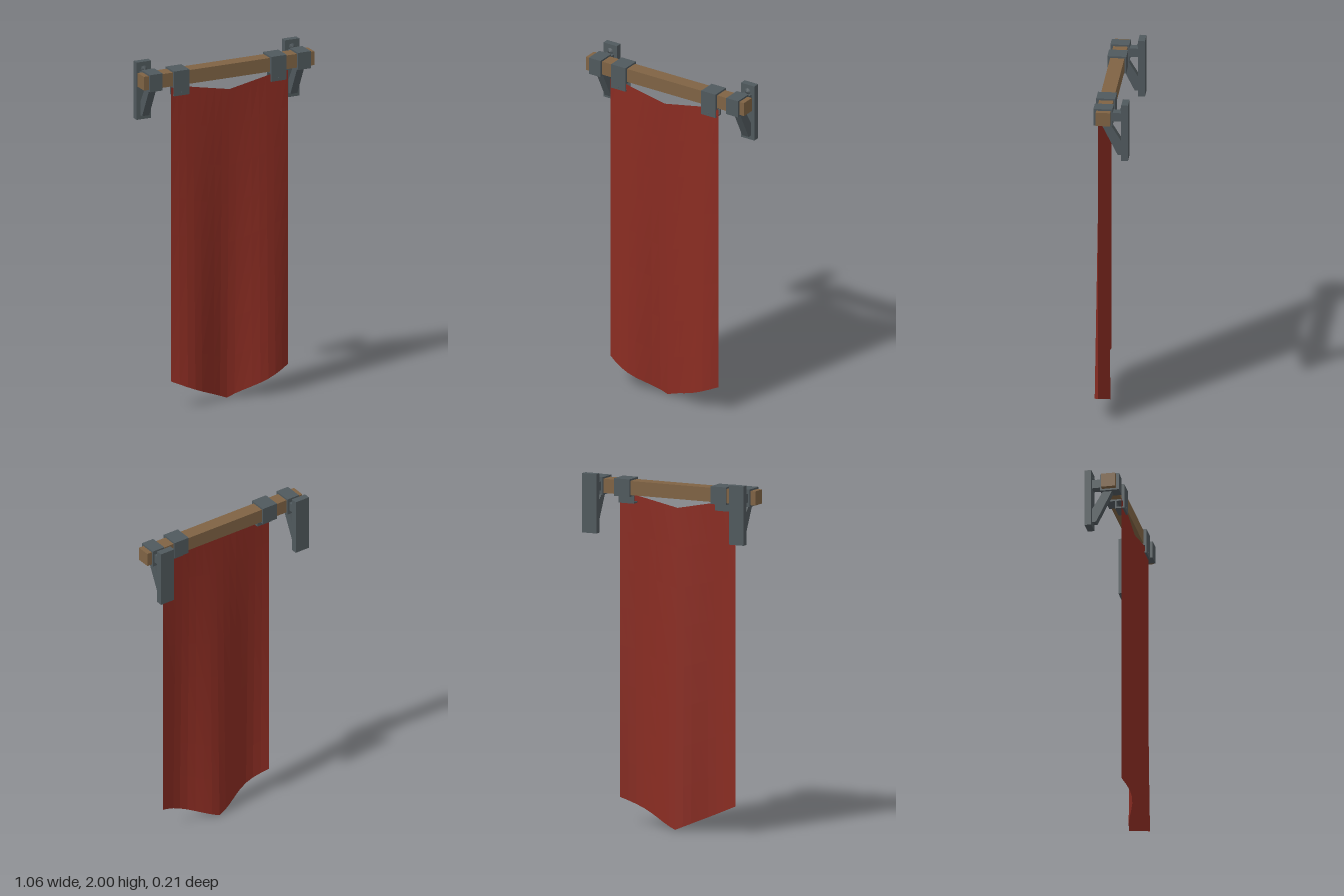
import * as THREE from 'three';

const paint = (name, color, extra = {}) => {
  const m = new THREE.MeshStandardMaterial({ color, ...extra });
  m.name = name;
  return m;
};

export function createModel() {
  const iron = paint('dark iron', 0x50595d);
  const wood = paint('brown wood', 0x7f6344);
  const red = paint('red cloth', 0x8a2c22, { side: THREE.DoubleSide, flatShading: true });
  const model = new THREE.Group();
  model.name = 'wallBanner';

  const add = (parent, name, geo, mat) => {
    const mesh = new THREE.Mesh(geo, mat);
    mesh.name = name;
    parent.add(mesh);
    return mesh;
  };
  // Box given by its limits on each axis
  const box = (parent, name, mat, [x0, x1], [y0, y1], [z0, z1]) => {
    const geo = new THREE.BoxGeometry(x1 - x0, y1 - y0, z1 - z0);
    geo.translate((x0 + x1) / 2, (y0 + y1) / 2, (z0 + z1) / 2);
    return add(parent, name, geo, mat);
  };

  // Square pole
  box(model, 'pole', wood, [-0.53, 0.53], [1.88, 1.96], [-0.01, 0.07]);

  for (const side of [-1, 1]) {
    // Wall bracket with plate, arm, sleeve, diagonal brace and rivets
    const bracket = new THREE.Group();
    bracket.name = side > 0 ? 'leftBracket' : 'rightBracket';
    bracket.position.x = side * 0.461;
    model.add(bracket);
    box(bracket, 'wallPlate', iron, [-0.045, 0.045], [1.665, 2], [-0.108, -0.07]);
    box(bracket, 'arm', iron, [-0.027, 0.027], [1.895, 1.945], [-0.07, -0.02]);
    box(bracket, 'sleeve', iron, [-0.039, 0.039], [1.87, 1.97], [-0.02, 0.086]);

    const profile = new THREE.Shape([
      [0.045, 1.875], [-0.006, 1.875], [-0.07, 1.77], [-0.07, 1.69], [-0.048, 1.69],
    ].map(([z, y]) => new THREE.Vector2(z, y)));
    const brace = new THREE.ExtrudeGeometry(profile, { depth: 0.044, bevelEnabled: false });
    brace.rotateY(-Math.PI / 2).translate(0.022, 0, 0);
    add(bracket, 'brace', brace, iron);

    for (const y of [1.958, 1.7]) {
      const rivet = new THREE.ConeGeometry(0.02, 0.012, 8);
      rivet.rotateX(Math.PI / 2).translate(0, y, -0.064);
      add(bracket, 'plateRivet', rivet, iron);
    }

    // Clamp around the pole with a loop below that grips the cloth
    const clamp = new THREE.Group();
    clamp.name = side > 0 ? 'leftClamp' : 'rightClamp';
    clamp.position.x = side * 0.302;
    model.add(clamp);
    const w = [-0.048, 0.048];
    box(clamp, 'clampSleeve', iron, w, [1.87, 1.97], [-0.02, 0.086]);
    box(clamp, 'loopFront', iron, w, [1.825, 1.87], [0.079, 0.086]);
    box(clamp, 'loopBack', iron, w, [1.825, 1.87], [0.033, 0.041]);
    box(clamp, 'loopBottom', iron, w, [1.825, 1.834], [0.041, 0.079]);
    const pin = new THREE.CylinderGeometry(0.005, 0.005, 0.004, 8);
    pin.rotateX(Math.PI / 2).translate(0, 1.842, 0.087);
    add(clamp, 'clampPin', pin, iron);
  }

  // Hanging cloth: sagging top, pointed hem, folds that deepen downward
  const half = 0.363;
  const cloth = new THREE.PlaneGeometry(2 * half, 1, 16, 8);
  const pos = cloth.attributes.position;
  for (let i = 0; i < pos.count; i++) {
    const x = pos.getX(i);
    const t = pos.getY(i) + 0.5;
    const top = 1.815 + 0.06 * Math.min(1, Math.abs(x) / 0.3);
    const hem = 0.155 * Math.abs(x) / half;
    const y = hem + (top - hem) * t;
    const depth = 0.033 * Math.max(0, 1 - y / 1.86);
    pos.setXYZ(i, x, y, 0.074 - depth * Math.cos(2 * Math.PI * x / 0.484));
  }
  cloth.computeVertexNormals();
  add(model, 'bannerCloth', cloth, red);

  return model;
}
